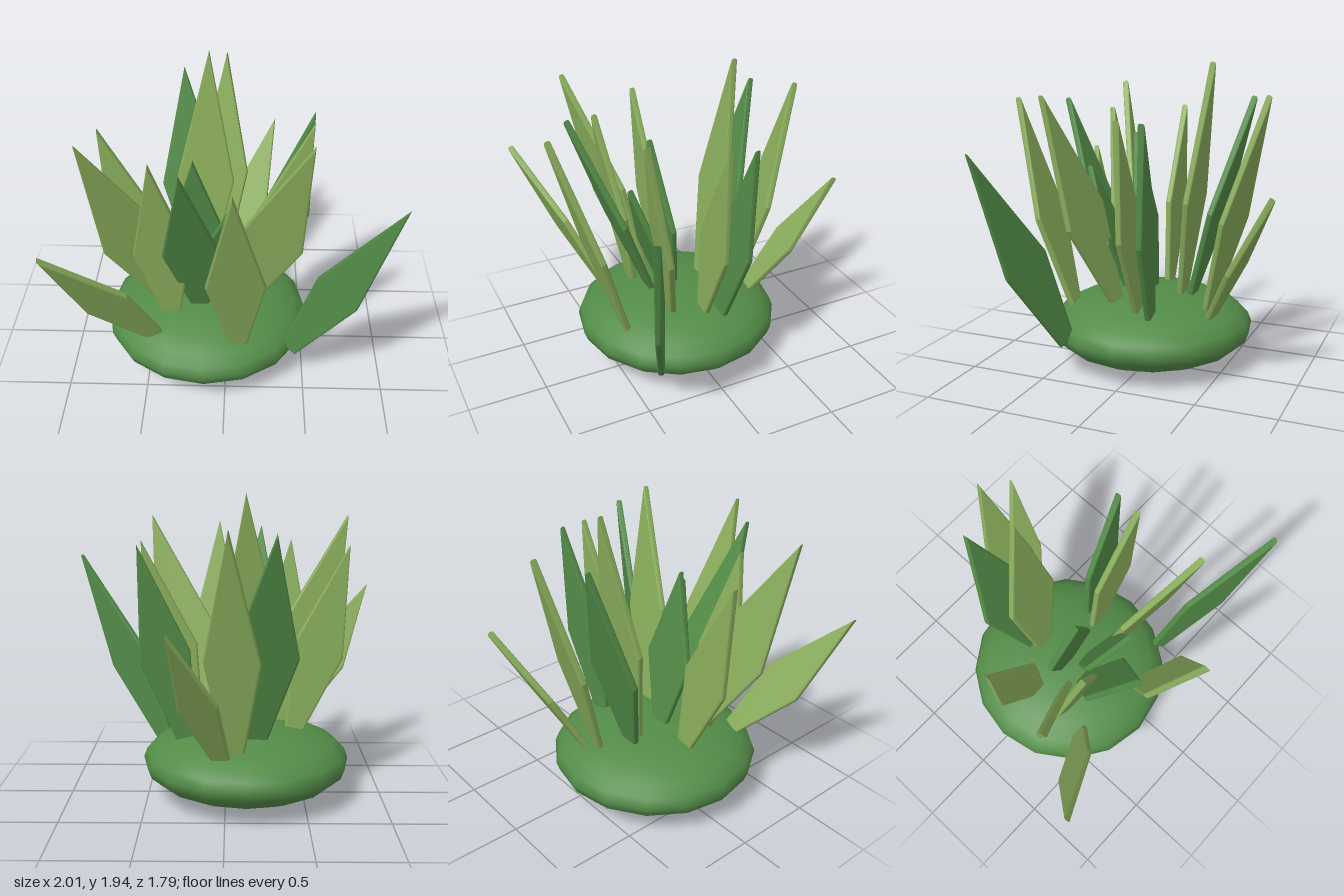
import * as THREE from 'three';

// Pointed blade: narrow foot, widest below the middle, thin bevelled edge
function bladeGeometry(length, width) {
  const s = new THREE.Shape();
  const w = width / 2, mid = length * 0.43;
  s.moveTo(-0.055, -0.03);
  s.lineTo(0.055, -0.03);
  s.lineTo(w, mid);
  s.lineTo(0, length);
  s.lineTo(-w, mid);
  s.closePath();
  const g = new THREE.ExtrudeGeometry(s, {
    depth: 0.018, bevelEnabled: true, bevelThickness: 0.011,
    bevelSize: 0.012, bevelOffset: -0.012, bevelSegments: 2,
  });
  g.translate(0, 0, -0.009);
  return g;
}

// Blade standing on base, pointing at tip, its width along side
function makeLeaf(base, tip, side, width, material) {
  const b = new THREE.Vector3(...base);
  const up = new THREE.Vector3(...tip).sub(b);
  const length = up.length();
  up.normalize();
  const x = new THREE.Vector3(...side);
  x.addScaledVector(up, -x.dot(up)).normalize();
  const z = new THREE.Vector3().crossVectors(x, up);
  const mesh = new THREE.Mesh(bladeGeometry(length, width), material);
  mesh.quaternion.setFromRotationMatrix(new THREE.Matrix4().makeBasis(x, up, z));
  mesh.position.copy(b);
  return mesh;
}

export function createModel() {
  const group = new THREE.Group();
  const deepGreen = new THREE.MeshStandardMaterial({ color: 0x538c48 });
  deepGreen.name = 'deepGreen';
  const lightGreen = new THREE.MeshStandardMaterial({ color: 0x8aae5c });
  lightGreen.name = 'lightGreen';

  // Flattened cushion at the foot
  const cushion = new THREE.Mesh(new THREE.SphereGeometry(1, 16, 12), deepGreen);
  cushion.name = 'cushion';
  cushion.scale.set(0.66, 0.235, 0.66);
  cushion.position.set(-0.13, 0.237, 0.02);
  group.add(cushion);

  // Leaves: base, tip, width direction, width
  const lightLeaves = [
    [[-0.46, 0.40, 0.43], [-1.0, 1.25, 0.83], [0.24, 0.14, 0.02], 0.29],
    [[-0.36, 0.45, 0.16], [-0.81, 1.76, 0.50], [0.39, 0.05, -0.09], 0.39],
    [[-0.35, 0.43, 0.25], [-0.43, 1.61, 0.43], [1, -0.1, 0], 0.35],
    [[0.08, 0.38, 0.48], [0.05, 1.70, 0.88], [1, 0, 0], 0.35],
    [[0.11, 0.45, 0.17], [0.49, 1.76, 0.47], [0.4, -0.1, 0.05], 0.40],
    [[0.20, 0.44, -0.02], [0.52, 1.64, -0.02], [1, 0, 0], 0.33],
    [[-0.44, 0.44, 0.01], [-0.77, 1.61, 0.03], [1, 0, 0], 0.33],
    [[0.03, 0.40, -0.45], [0.31, 1.22, -0.88], [0.2, -0.05, 0.05], 0.24],
    [[-0.06, 0.42, -0.40], [-0.02, 1.76, -0.76], [1, 0, 0.2], 0.34],
    [[-0.17, 0.45, -0.18], [-0.12, 1.94, -0.38], [1, 0, 0], 0.37],
  ];
  const darkLeaves = [
    [[-0.17, 0.46, 0.20], [-0.24, 1.68, 0.67], [1, 0, 0], 0.35],
    [[-0.07, 0.46, 0.12], [0.02, 1.28, 0.39], [1, 0, -0.05], 0.33],
    [[-0.18, 0.46, 0.03], [-0.20, 1.48, 0.16], [1, 0, 0], 0.37],
    [[0.42, 0.26, 0.38], [1.0, 1.48, 0.65], [0.24, -0.12, 0.13], 0.30],
    [[0.25, 0.42, -0.12], [0.53, 1.63, -0.18], [1, 0, -0.1], 0.32],
    [[-0.20, 0.45, -0.24], [-0.29, 1.73, -0.60], [1, 0, 0], 0.40],
  ];
  const leaves = new THREE.Group();
  leaves.name = 'leaves';
  for (const [set, material, label] of [
    [lightLeaves, lightGreen, 'lightLeaf'], [darkLeaves, deepGreen, 'darkLeaf'],
  ]) {
    set.forEach((leaf, i) => {
      const mesh = makeLeaf(...leaf, material);
      mesh.name = label + (i + 1);
      leaves.add(mesh);
    });
  }
  group.add(leaves);
  return group;
}
